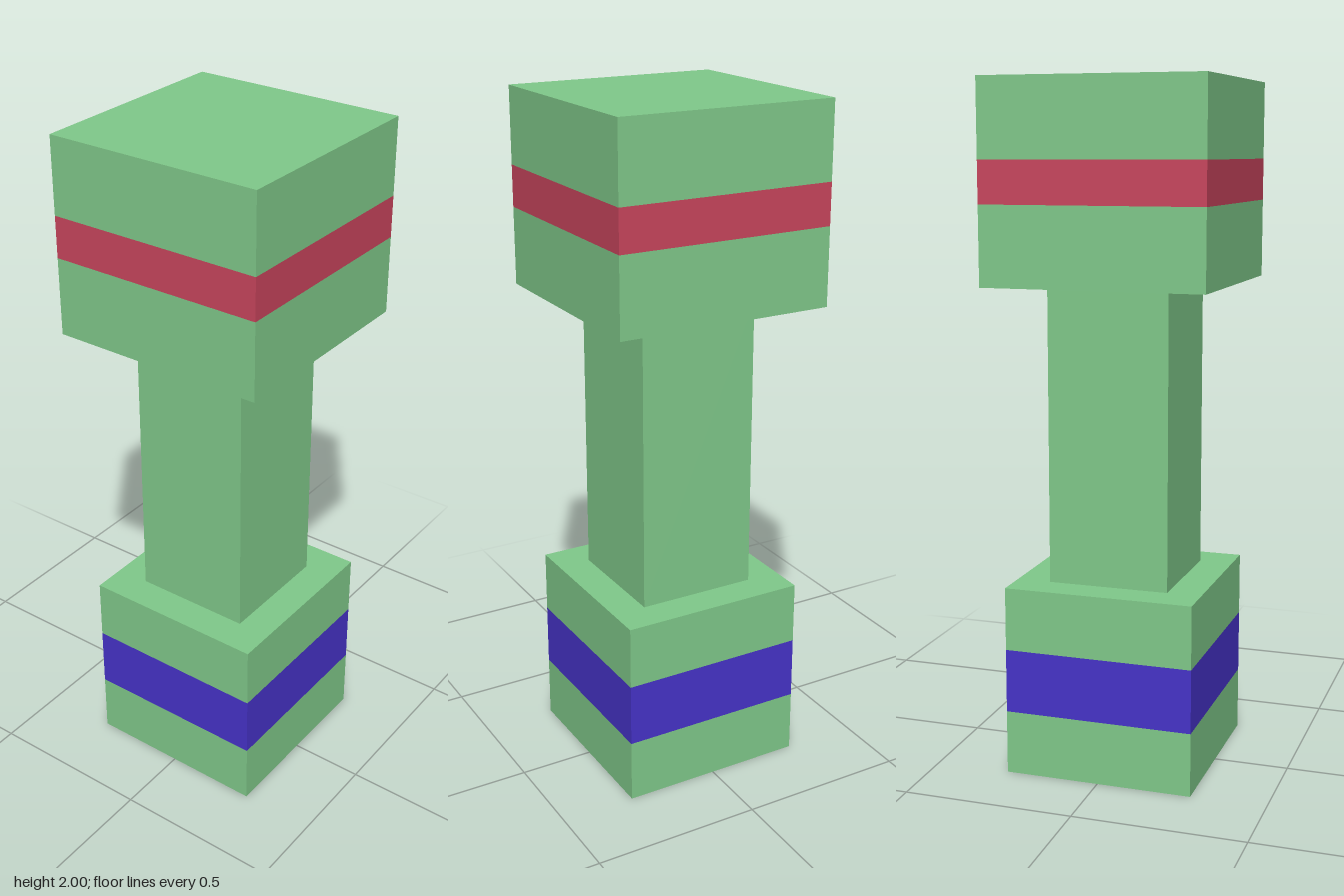
import * as THREE from 'three';

const green = new THREE.MeshStandardMaterial({ color: 0x80c98a });
const red = new THREE.MeshStandardMaterial({ color: 0xc9455d });
const blue = new THREE.MeshStandardMaterial({ color: 0x4733c9 });

// Square block spanning y0..y1
function block(name, width, y0, y1, material) {
  const mesh = new THREE.Mesh(new THREE.BoxGeometry(width, y1 - y0, width), material);
  mesh.name = name;
  mesh.position.y = (y0 + y1) / 2;
  return mesh;
}

// Block split into three layers, the middle one a coloured band
function bandedBlock(name, width, [y0, y1, y2, y3], bandMaterial) {
  const group = new THREE.Group();
  group.name = name;
  group.add(
    block(name + 'Lower', width, y0, y1, green),
    block(name + 'Band', width, y1, y2, bandMaterial),
    block(name + 'Upper', width, y2, y3, green)
  );
  return group;
}

export function createModel() {
  const model = new THREE.Group();
  model.name = 'pillar';
  model.add(
    bandedBlock('base', 0.558, [0, 0.188, 0.376, 0.562], blue),
    block('shaft', 0.357, 0.562, 1.43, green),
    bandedBlock('head', 0.646, [1.43, 1.657, 1.778, 2], red)
  );
  return model;
}
